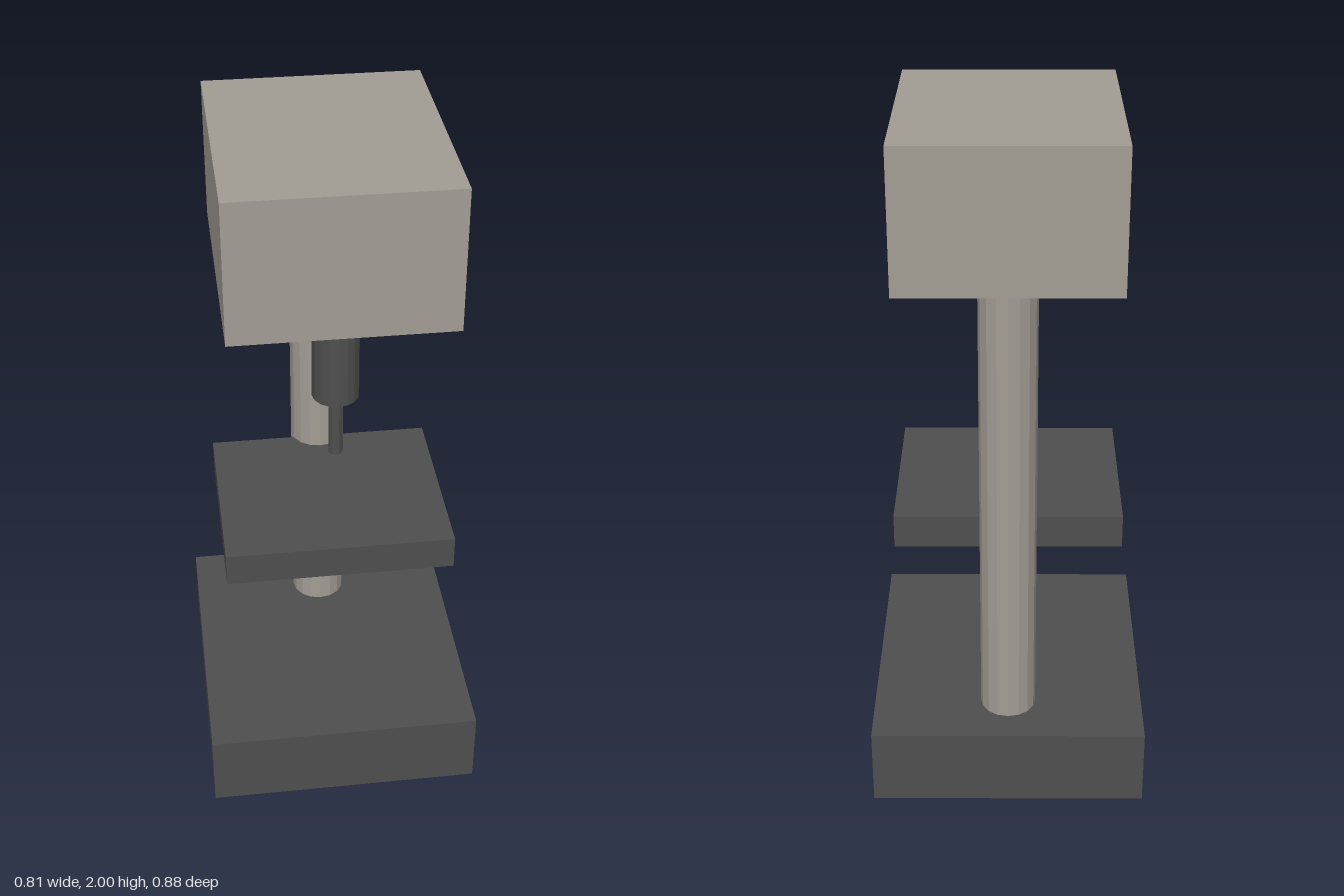
import * as THREE from 'three';

export function createModel() {
  const model = new THREE.Group();
  model.name = 'drillPress';

  const castIron = new THREE.MeshStandardMaterial({ color: 0x4f4f4f, flatShading: true });
  castIron.name = 'dark cast iron';
  const paint = new THREE.MeshStandardMaterial({ color: 0xa39d94, flatShading: true });
  paint.name = 'warm grey paint';

  const add = (name, geometry, material, x, y, z) => {
    const mesh = new THREE.Mesh(geometry, material);
    mesh.name = name;
    mesh.position.set(x, y, z);
    model.add(mesh);
  };
  // Box and upright cylinder, both given by bottom and top height
  const box = (name, material, w, bottom, top, back, front, x = 0) =>
    add(name, new THREE.BoxGeometry(w, top - bottom, front - back), material,
      x, (bottom + top) / 2, (back + front) / 2);
  const rod = (name, material, radius, sides, bottom, top, z) =>
    add(name, new THREE.CylinderGeometry(radius, radius, top - bottom, sides), material,
      0, (bottom + top) / 2, z);

  // Stand
  box('base', castIron, 0.806, 0, 0.235, -0.44, 0.44);
  rod('column', paint, 0.082, 16, 0.23, 1.6, -0.263);
  box('table', castIron, 0.66, 0.763, 0.863, -0.235, 0.322);

  // Head with a thin cover panel on its left side
  box('head', paint, 0.614, 1.595, 2, -0.367, 0.367);
  box('sidePanel', castIron, 0.004, 1.65, 1.94, -0.305, 0.305, 0.3065);

  // Spindle
  rod('quill', castIron, 0.066, 16, 1.3, 1.6, 0.18);
  rod('drillBit', castIron, 0.02, 12, 1.105, 1.305, 0.18);

  return model;
}
